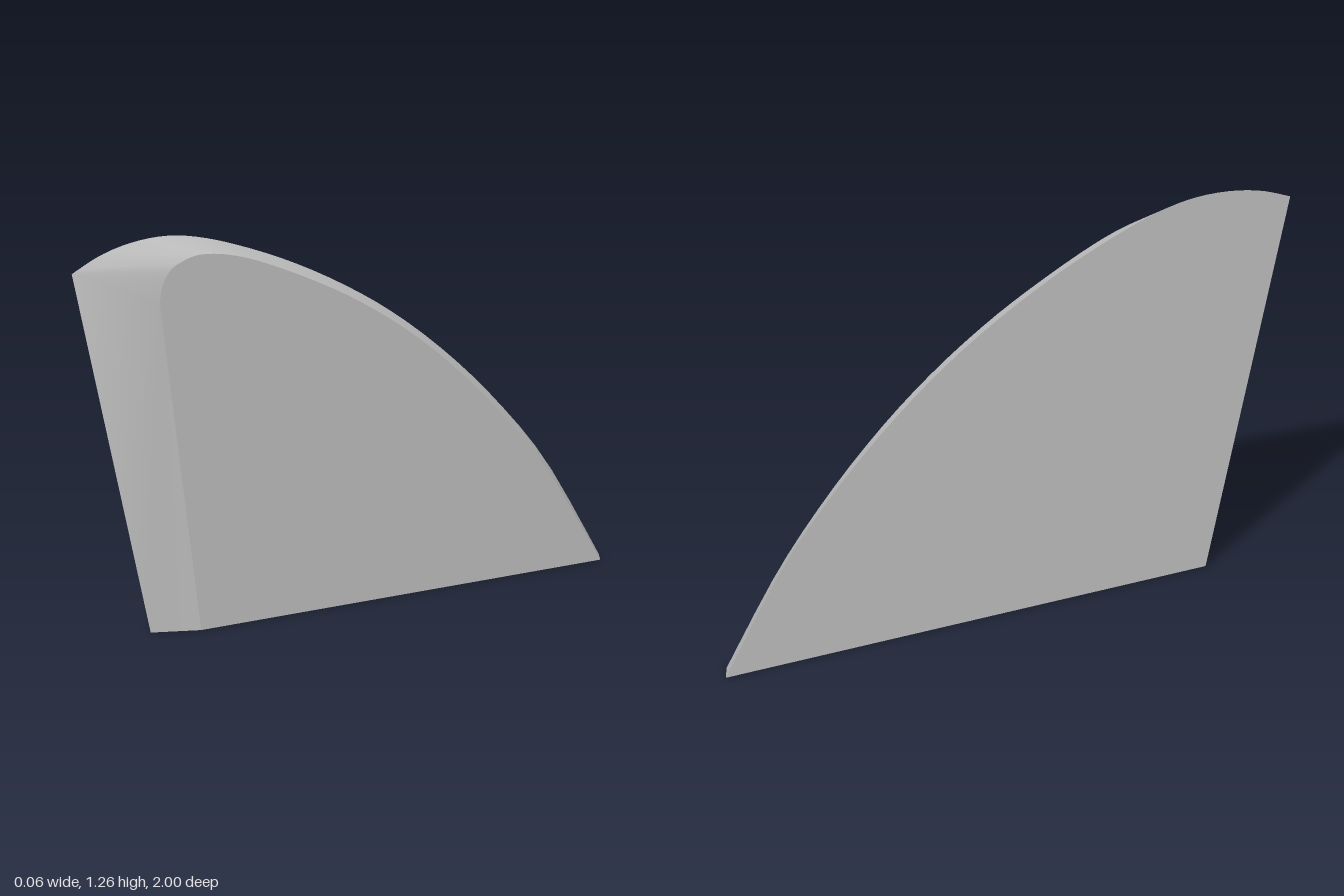
import * as THREE from 'three';
import { toCreasedNormals } from 'three/addons/utils/BufferGeometryUtils.js';

const HALF = 0.0325;
const v2 = (z, y) => new THREE.Vector2(z, y);
const spline = (pts) => new THREE.SplineCurve(pts.map(([z, y]) => v2(z, y))).getPoints(40);

// Profiles in (z, y), running from the front foot over the top to the tail.
function profiles() {
  // wide face at -x: sharp front corner, then the arched top
  const wideTop = spline([[1, 1.185], [0.9, 1.226], [0.79, 1.25], [0.67, 1.256], [0.55, 1.24], [0.4, 1.196],
    [0.2, 1.117], [0, 1.018], [-0.2, 0.897], [-0.4, 0.745], [-0.6, 0.558], [-0.8, 0.325], [-1, 0]]);
  // narrow face at +x: rounded front corner, then a parallel arch
  const narrowTop = spline([[0.63, 1.182], [0.605, 1.19], [0.58, 1.194], [0.55, 1.195], [0.47, 1.184], [0.35, 1.148],
    [0.17, 1.07], [-0.02, 0.973], [-0.22, 0.845], [-0.41, 0.693], [-0.6, 0.505], [-0.78, 0.285], [-0.96, 0]]);
  const corner = new THREE.QuadraticBezierCurve(v2(0.712, 1.06), v2(0.705, 1.165), v2(0.63, 1.182)).getPoints(8);
  const wide = [v2(0.7, 0), ...corner.map(() => v2(1, 1.185)), ...wideTop.slice(1)];
  const narrow = [v2(0.555, 0), ...corner, ...narrowTop.slice(1)];
  return { wide, narrow };
}

// Triangle list to geometry, leaving out triangles with no area.
function fromTriangles(tris) {
  const solid = tris.filter(([a, b, c]) => new THREE.Triangle(a, b, c).getArea() > 1e-9);
  return new THREE.BufferGeometry().setFromPoints(solid.flat());
}

export function createModel() {
  const grey = new THREE.MeshStandardMaterial({ color: 0xc0c0c0 });
  grey.name = 'light grey';
  const group = new THREE.Group();
  group.name = 'fin';
  const add = (name, geometry) => {
    const mesh = new THREE.Mesh(geometry, grey);
    mesh.name = name;
    group.add(mesh);
  };

  const { wide, narrow } = profiles();
  const at = (pts, x) => pts.map((p) => new THREE.Vector3(x, p.y, p.x));
  const w = at(wide, -HALF);
  const n = at(narrow, HALF);

  // slanted rim joining both faces, including the flat base
  const rim = [];
  for (let i = 0; i < w.length; i++) {
    const j = (i + 1) % w.length;
    rim.push([w[i], n[i], n[j]], [w[i], n[j], w[j]]);
  }
  add('bevelledRim', toCreasedNormals(fromTriangles(rim), 0.6));

  // flat side faces, each turned outwards
  const face = (name, outline, pts, side) => {
    const tris = THREE.ShapeUtils.triangulateShape(outline, []).map(([a, b, c]) => {
      const t = [pts[a], pts[b], pts[c]];
      const normal = new THREE.Triangle(...t).getNormal(new THREE.Vector3());
      return normal.x * side < 0 ? t.reverse() : t;
    });
    const geometry = fromTriangles(tris);
    geometry.computeVertexNormals();
    add(name, geometry);
  };
  face('wideFace', wide, w, -1);
  face('narrowFace', narrow, n, 1);
  return group;
}
